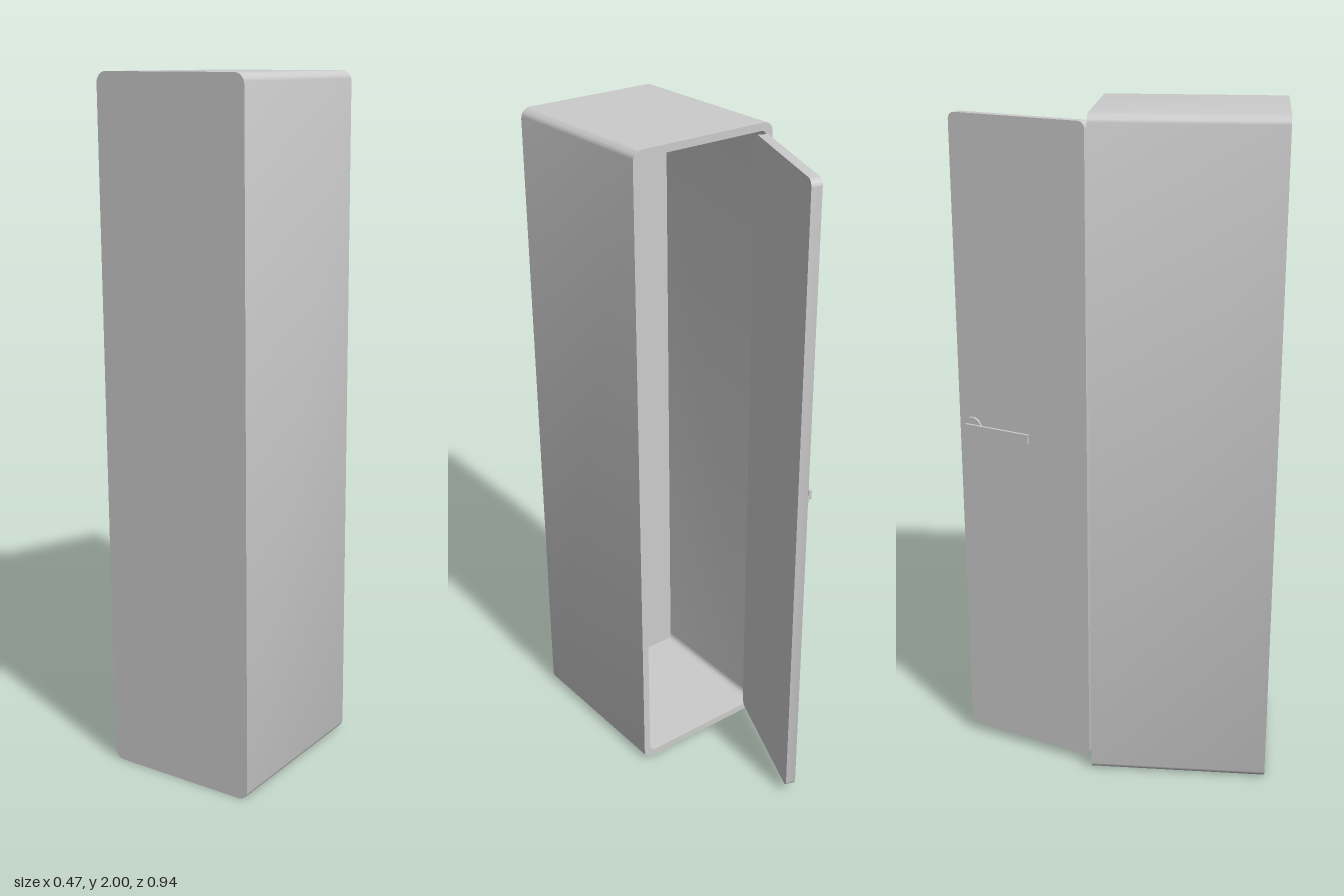
import * as THREE from 'three';
import { toCreasedNormals } from 'three/addons/utils/BufferGeometryUtils.js';

const mat = new THREE.MeshStandardMaterial({ color: 0xcccccc, side: THREE.DoubleSide });

// Rounded rectangle, running from the bottom right corner round to the bottom left
function outline(halfW, y0, y1, r, steps = 6) {
  const pts = [];
  const corners = [[1, y0 + r], [1, y1 - r], [-1, y1 - r], [-1, y0 + r]];
  corners.forEach(([side, cy], i) => {
    for (let k = 0; k <= steps; k++) {
      const a = (i - 1 + k / steps) * Math.PI / 2;
      pts.push(new THREE.Vector2(side * (halfW - r) + r * Math.cos(a), cy + r * Math.sin(a)));
    }
  });
  return pts;
}

// Sheet swept along z from an outline, either closed or open along the bottom
function sheet(pts, z0, z1, closed) {
  const pos = [], idx = [], n = pts.length;
  for (const p of pts) pos.push(p.x, p.y, z0, p.x, p.y, z1);
  for (let i = 0; i < (closed ? n : n - 1); i++) {
    const a = 2 * i, b = 2 * ((i + 1) % n);
    idx.push(a, b, a + 1, b, b + 1, a + 1);
  }
  const g = new THREE.BufferGeometry();
  g.setAttribute('position', new THREE.Float32BufferAttribute(pos, 3));
  g.setIndex(idx);
  return toCreasedNormals(g, 0.5);
}

function add(parent, name, geometry, x = 0, y = 0, z = 0) {
  const mesh = new THREE.Mesh(geometry, mat);
  mesh.name = name;
  mesh.position.set(x, y, z);
  parent.add(mesh);
  return mesh;
}

export function createModel() {
  const model = new THREE.Group();
  model.name = 'cabinet';
  const back = -0.065, front = 0.468, linerEnd = 0.388;
  const outer = outline(0.237, 0, 2, 0.03);
  const inner = outline(0.215, 0.022, 1.978, 0.02);

  // Outer casing, open underneath, with a solid front
  add(model, 'casing', sheet(outer, back, front, false));
  add(model, 'frontPanel', new THREE.ShapeGeometry(new THREE.Shape(outer)), 0, 0, front);

  // Rim around the door opening
  const rim = new THREE.Shape(outer);
  rim.holes.push(new THREE.Path(inner));
  add(model, 'doorFrame', new THREE.ShapeGeometry(rim).rotateY(Math.PI).translate(0, 0, back));

  // Inner compartment
  add(model, 'liner', sheet(inner, back, linerEnd, true));
  add(model, 'linerEndPanel',
    new THREE.ShapeGeometry(new THREE.Shape(inner)).rotateY(Math.PI).translate(0, 0, linerEnd));

  // Open door, turning on its hinge edge
  const door = new THREE.Group();
  door.name = 'door';
  door.position.set(-0.175, 0, back);
  door.rotation.y = 1.19;
  model.add(door);
  const leaf = new THREE.ExtrudeGeometry(new THREE.Shape(outline(0.215, 0.026, 1.976, 0.02)),
    { depth: 0.03, bevelEnabled: false });
  add(door, 'doorLeaf', toCreasedNormals(leaf, 0.5), 0.215, 0, -0.03);

  // Lever handle on the outer face
  const handle = new THREE.Group();
  handle.name = 'handle';
  handle.position.set(0.385, 1.055, -0.03);
  door.add(handle);
  const disc = (r, h) => new THREE.CylinderGeometry(r, r, h, 24).rotateX(Math.PI / 2);
  add(handle, 'rosette', disc(0.032, 0.007), 0, 0, -0.0035);
  add(handle, 'spindle', disc(0.011, 0.014), 0, 0, -0.01);
  add(handle, 'lever', new THREE.BoxGeometry(0.215, 0.028, 0.008), -0.093, 0, -0.018);

  return model;
}
